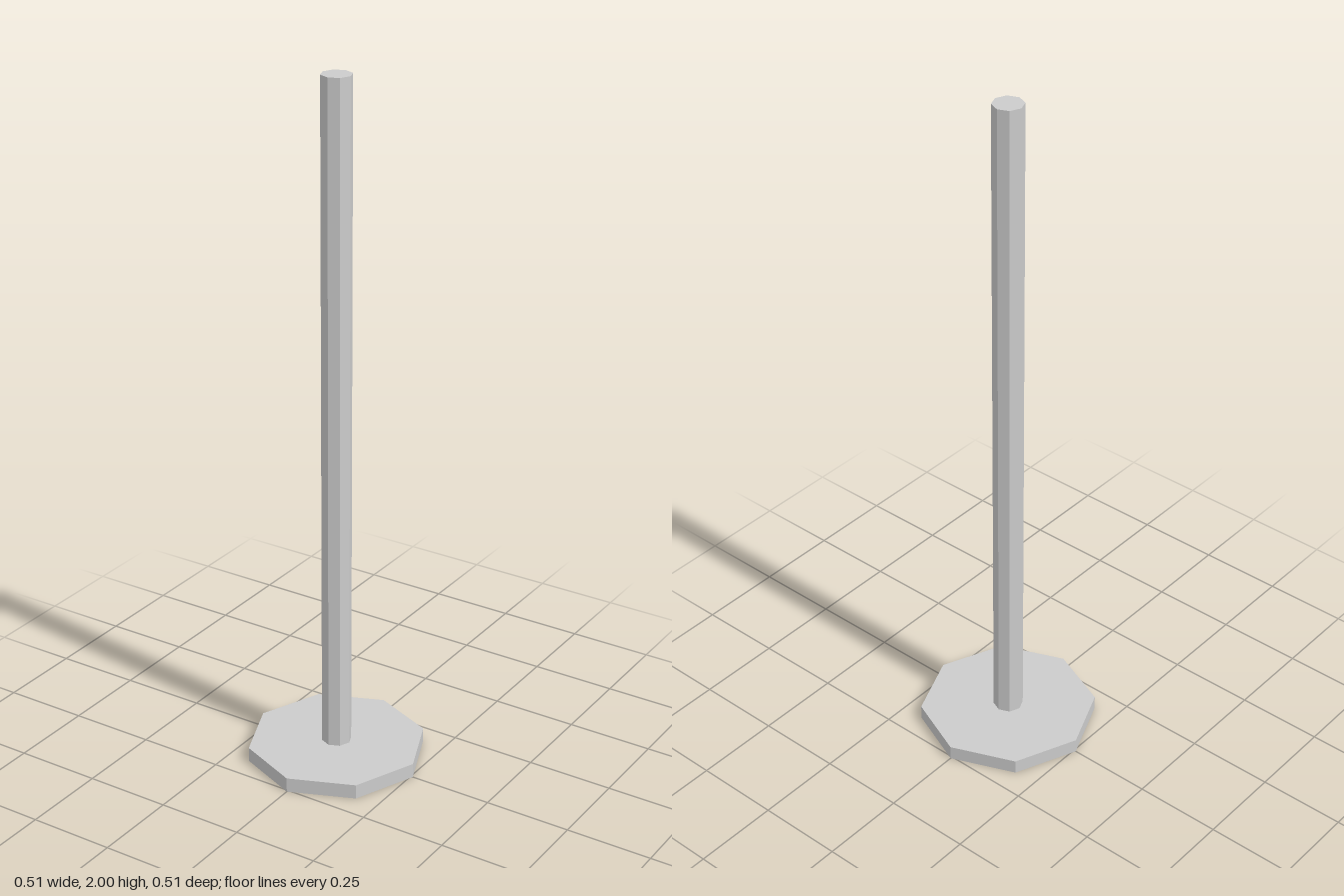
import * as THREE from 'three';

const SIDES = 8;
const BASE_HEIGHT = 0.043;
const TOTAL_HEIGHT = 2;

export function createModel() {
  const group = new THREE.Group();
  const material = new THREE.MeshStandardMaterial({ color: 0xcccccc, flatShading: true });

  // Upright octagonal prism standing between two heights
  function prism(name, radius, bottom, top) {
    const geometry = new THREE.CylinderGeometry(radius, radius, top - bottom, SIDES);
    const mesh = new THREE.Mesh(geometry, material);
    mesh.name = name;
    mesh.position.y = (bottom + top) / 2;
    group.add(mesh);
  }

  // Flat foot plate
  prism('base', 0.257, 0, BASE_HEIGHT);
  // Slender post
  prism('pole', 0.043, BASE_HEIGHT, TOTAL_HEIGHT);

  return group;
}
